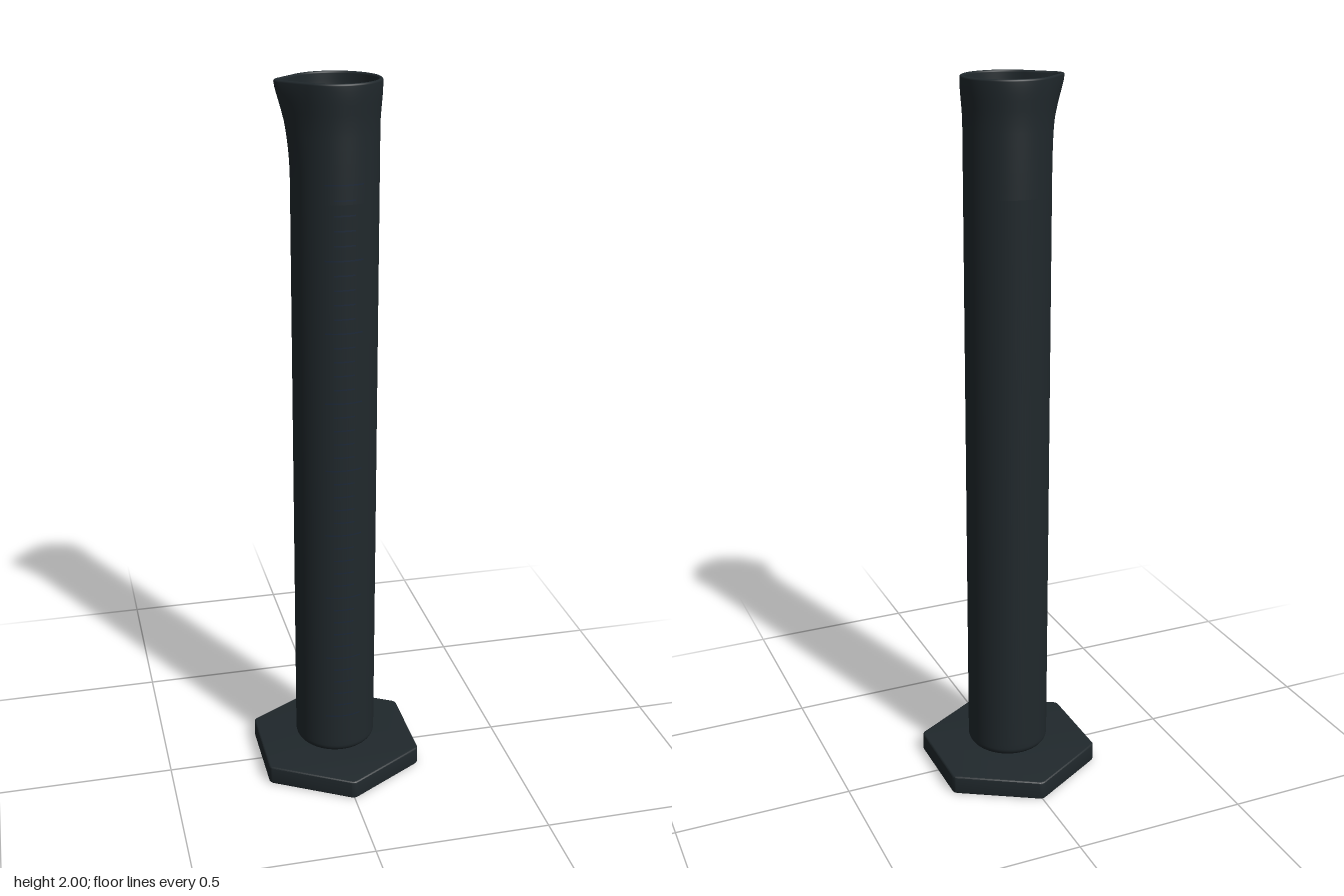
import * as THREE from 'three';
import { mergeVertices, toCreasedNormals } from 'three/addons/utils/BufferGeometryUtils.js';

const BASE_TOP = 0.055, TUBE_BOTTOM = 0.063, TOP = 2, RADIUS = 0.116, RIM = 0.122;

// Hexagonal foot with softened corners and edges
function footGeometry() {
  const bevel = 0.005, R = 0.2598 - bevel * 1.155, k = 0.035;
  const corner = i => new THREE.Vector2(0, R).rotateAround(new THREE.Vector2(), i * Math.PI / 3);
  const shape = new THREE.Shape();
  for (let i = 0; i < 6; i++) {
    const c = corner(i);
    const a = c.clone().lerp(corner(i - 1), k), b = c.clone().lerp(corner(i + 1), k);
    if (i === 0) shape.moveTo(a.x, a.y); else shape.lineTo(a.x, a.y);
    shape.quadraticCurveTo(c.x, c.y, b.x, b.y);
  }
  shape.closePath();
  const geo = new THREE.ExtrudeGeometry(shape, {
    depth: BASE_TOP - 2 * bevel, bevelEnabled: true, bevelThickness: bevel,
    bevelSize: bevel, bevelSegments: 4, curveSegments: 6,
  });
  geo.rotateX(-Math.PI / 2).translate(0, bevel, 0);
  return toCreasedNormals(geo, 0.5);
}

// Extra radius of the pouring lip at an angle away from -x:
// the tangent hull of the rim circle and a small circle at the tip
function lipExtra(angle) {
  const d = 0.127, r = 0.03;
  const a = Math.acos((RIM - r) / d);
  const tip = Math.atan2(r * Math.sin(a), d + r * Math.cos(a));
  if (angle >= a) return 0;
  if (angle >= tip) return RIM / Math.cos(a - angle) - RIM;
  return d * Math.cos(angle) + Math.sqrt(r * r - (d * Math.sin(angle)) ** 2) - RIM;
}

// Hollow tube: closed wall profile turned round, then pulled out into the lip
function tubeGeometry() {
  const wall = 0.011, inner = RADIUS - wall, fillet = 0.025;
  const pts = [];
  const add = (x, y) => pts.push(new THREE.Vector2(x, y));
  const arc = (cx, cy, r, from, to, n) => {
    for (let i = 0; i <= n; i++) {
      const t = from + (to - from) * i / n;
      add(cx + r * Math.cos(t), cy + r * Math.sin(t));
    }
  };
  const lipRows = [0, 0.12, 0.25, 0.38, 0.5, 0.62, 0.73, 0.83, 0.9, 0.96].map(t => 1.74 + 0.25 * t);
  const flare = y => (RIM - RADIUS) * THREE.MathUtils.smoothstep(y, 1.88, 1.985);
  add(0, TUBE_BOTTOM);
  add(RADIUS - fillet - 0.004, TUBE_BOTTOM);
  arc(RADIUS - fillet, TUBE_BOTTOM + fillet, fillet, -Math.PI / 2, 0, 8);
  add(RADIUS, 0.1);
  add(RADIUS, 1.7);
  lipRows.forEach(y => add(RADIUS + flare(y), y));
  arc(RIM - wall / 2, TOP - wall / 2, wall / 2, 0, Math.PI, 8);
  [...lipRows].reverse().forEach(y => add(inner + flare(y), y));
  add(inner, 1.7);
  add(inner, 0.11);
  const floor = TUBE_BOTTOM + wall;
  arc(inner - 0.02, floor + 0.02, 0.02, 0, -Math.PI / 2, 8);
  add(inner - 0.025, floor);
  add(0, floor);

  let geo = new THREE.LatheGeometry(pts, 144);
  const p = geo.attributes.position;
  for (let i = 0; i < p.count; i++) {
    const x = p.getX(i), y = p.getY(i), z = p.getZ(i), r = Math.hypot(x, z);
    if (y < 1.74 || r < 0.01) continue;
    const grow = Math.pow(Math.min(1, (y - 1.74) / 0.25), 1.8);
    const s = 1 + grow * lipExtra(Math.abs(Math.atan2(z, -x))) / r;
    p.setXYZ(i, x * s, y, z * s);
  }
  geo.deleteAttribute('normal');
  geo.deleteAttribute('uv');
  geo = mergeVertices(geo, 1e-5);
  geo.computeVertexNormals();
  return geo;
}

export function createModel() {
  const model = new THREE.Group();
  model.name = 'measuringCylinder';
  const dark = new THREE.MeshStandardMaterial({ color: 0x20282c, side: THREE.DoubleSide });
  const ink = new THREE.MeshStandardMaterial({ color: 0x1c2838, side: THREE.DoubleSide });

  const foot = new THREE.Mesh(footGeometry(), dark);
  foot.name = 'hexagonalFoot';
  const tube = new THREE.Mesh(tubeGeometry(), dark);
  tube.name = 'tubeWithPouringLip';
  model.add(foot, tube);

  // Graduation lines on the front, every fifth one longer
  const marks = new THREE.Group();
  marks.name = 'graduationMarks';
  for (let i = 0; i <= 40; i++) {
    const span = i % 5 === 0 ? 0.9 : 0.5;
    const mark = new THREE.Mesh(new THREE.CylinderGeometry(
      RADIUS + 0.0008, RADIUS + 0.0008, 0.004, 12, 1, true, -span / 2, span), ink);
    mark.position.y = 0.19 + i * 0.039;
    mark.name = 'graduationMark';
    marks.add(mark);
  }
  model.add(marks);
  return model;
}
